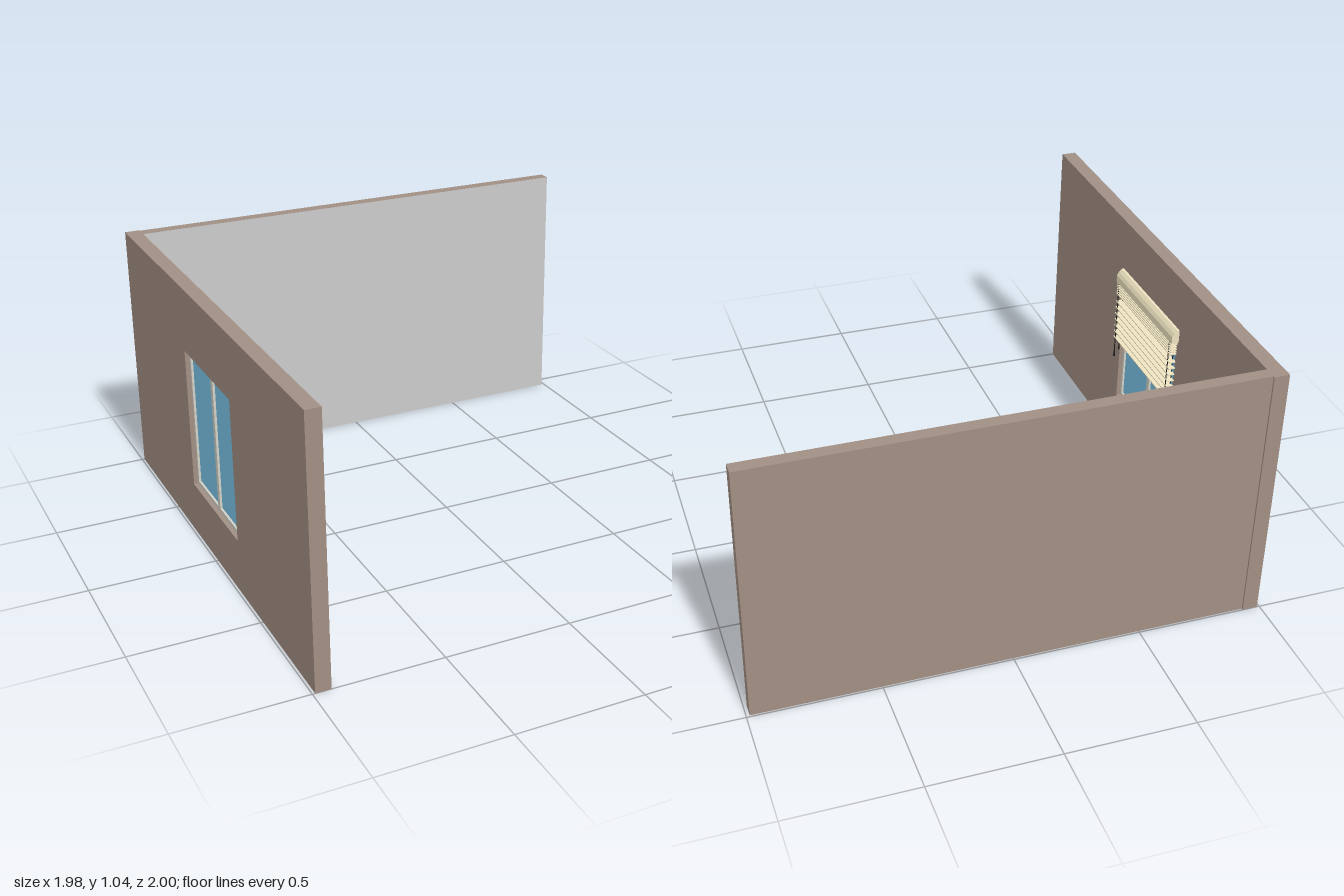
import * as THREE from 'three';

const mat = (color) => new THREE.MeshStandardMaterial({ color });

export function createModel() {
  const model = new THREE.Group();
  const wallMat = mat(0xa18f83), plainMat = mat(0xcccccc), frameMat = mat(0xd2d2c8);
  const glassMat = mat(0x7ac5e8), creamMat = mat(0xeee3c0), cordMat = mat(0x1c1c1c);

  const add = (parent, name, geometry, material) => {
    const mesh = new THREE.Mesh(geometry, material);
    mesh.name = name;
    parent.add(mesh);
    return mesh;
  };
  // Box given by its minimum and maximum corners
  const box = (parent, name, a, b, material) => {
    const mesh = add(parent, name, new THREE.BoxGeometry(b[0] - a[0], b[1] - a[1], b[2] - a[2]), material);
    mesh.position.set((a[0] + b[0]) / 2, (a[1] + b[1]) / 2, (a[2] + b[2]) / 2);
    return mesh;
  };

  // Side wall with the window opening, extruded along x
  const H = 1.045, inner = -0.93, outer = -0.99;
  const W0 = 0.215, W1 = 0.785, WZ = 0.257;
  const rect = (shape, x, y, X, Y) => shape.moveTo(x, y).lineTo(X, y).lineTo(X, Y).lineTo(x, Y).closePath();
  const wallShape = rect(new THREE.Shape(), -1, 0, 1, H);
  wallShape.holes.push(rect(new THREE.Path(), -WZ, W0, WZ, W1));
  const wallGeo = new THREE.ExtrudeGeometry(wallShape, { depth: inner - outer, bevelEnabled: false });
  wallGeo.rotateY(Math.PI / 2);
  add(model, 'windowWall', wallGeo, wallMat).position.x = outer;

  // Back wall with a plain lining on its room side
  box(model, 'backWall', [inner, 0, -0.993], [0.987, H, -0.943], wallMat);
  const lining = add(model, 'backWallLining', new THREE.PlaneGeometry(0.987 - inner, H), plainMat);
  lining.position.set((0.987 + inner) / 2, H / 2, -0.942);

  // Window: two framed sashes meeting in the middle
  const win = new THREE.Group();
  win.name = 'window';
  model.add(win);
  for (const [z0, z1] of [[-WZ, 0], [0, WZ]]) {
    const sash = rect(new THREE.Shape(), z0, W0, z1, W1);
    sash.holes.push(rect(new THREE.Path(), z0 + 0.012, W0 + 0.014, z1 - 0.012, W1 - 0.014));
    const geo = new THREE.ExtrudeGeometry(sash, { depth: 0.024, bevelEnabled: false });
    geo.rotateY(-Math.PI / 2);
    add(win, 'sashFrame', geo, frameMat).position.x = -0.948;
    box(win, 'glassPane', [-0.963, W0 + 0.01, z0 + 0.01], [-0.957, W1 - 0.01, z1 - 0.01], glassMat);
  }

  // Blind: head box with a sloped, stepped front
  const blind = new THREE.Group();
  blind.name = 'blind';
  model.add(blind);
  const BZ = 0.273;
  const profile = new THREE.Shape([
    [0, 0.775], [0.03, 0.775], [0.03, 0.805], [0.022, 0.82], [0.01, 0.832], [0, 0.832],
  ].map(([x, y]) => new THREE.Vector2(x, y)));
  const headGeo = new THREE.ExtrudeGeometry(profile, { depth: 2 * BZ, bevelEnabled: false });
  add(blind, 'blindHeadBox', headGeo, creamMat).position.set(inner, 0, -BZ);

  // Gathered slats at the top, then evenly spaced ones
  const levels = [0.766, 0.755, 0.744, 0.733, 0.722];
  for (let i = 0; i < 7; i++) levels.push(0.685 - i * 0.0287);
  for (const y of levels) {
    box(blind, 'slat', [-0.928, y - 0.002, -0.268], [-0.901, y + 0.002, 0.268], creamMat);
  }

  // Hanging cords with small end weights, a front and a back one on each side
  for (const z of [-0.245, 0.255]) {
    for (const [x, low] of [[-0.904, 0.42], [-0.925, 0.45]]) {
      const cord = add(blind, 'cord', new THREE.CylinderGeometry(0.002, 0.002, 0.78 - low, 6), cordMat);
      cord.position.set(x, (0.78 + low) / 2, z);
      const weight = add(blind, 'cordWeight', new THREE.CylinderGeometry(0.002, 0.004, 0.03, 6), cordMat);
      weight.position.set(x, low + 0.015, z);
    }
  }
  return model;
}
